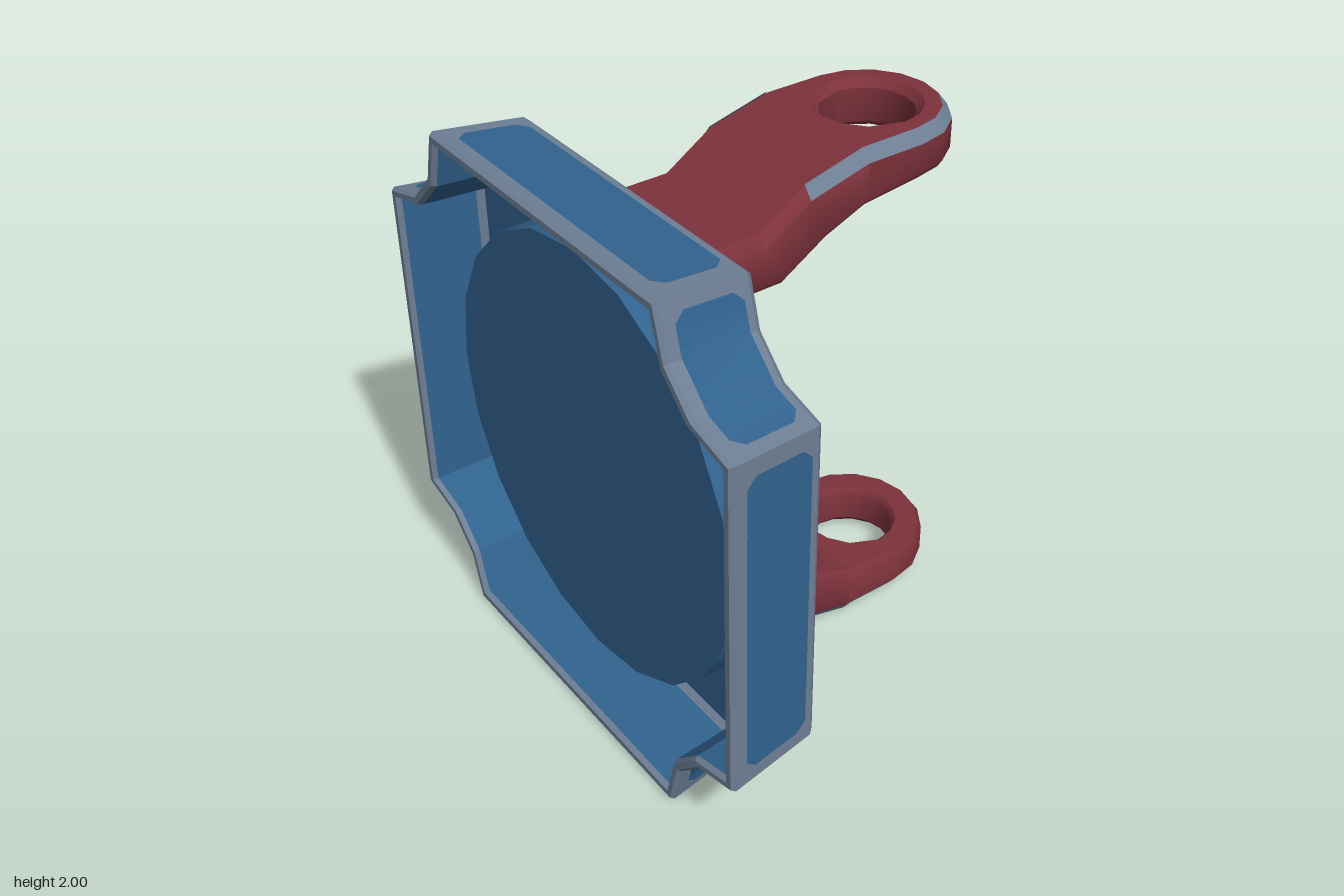
import * as THREE from 'three';
import { toCreasedNormals } from 'three/addons/utils/BufferGeometryUtils.js';

const mat = (name, color) => new THREE.MeshStandardMaterial({ name, color, side: THREE.DoubleSide });

// Skin a list of equal-length point rows with quads
function loft(rows, { closedRow = true, closedLoop = false, crease = 0.6 } = {}) {
  const n = rows[0].length, index = [];
  const rowEnd = closedLoop ? rows.length : rows.length - 1;
  for (let i = 0; i < rowEnd; i++) {
    const k = (i + 1) % rows.length;
    for (let j = 0; j < (closedRow ? n : n - 1); j++) {
      const m = (j + 1) % n;
      const a = i * n + j, b = i * n + m, c = k * n + m, d = k * n + j;
      index.push(a, b, c, a, c, d);
    }
  }
  const geo = new THREE.BufferGeometry();
  geo.setAttribute('position', new THREE.Float32BufferAttribute(rows.flat(2), 3));
  geo.setIndex(index);
  return toCreasedNormals(geo, crease);
}

// Square outline with stepped corners, counter-clockwise, centred on the origin
const outline = [];
for (let k = 0; k < 4; k++) {
  for (let [x, y] of [[1, 0.645], [0.82, 0.695], [0.695, 0.82], [0.645, 1]]) {
    for (let r = 0; r < k; r++) [x, y] = [-y, x];
    outline.push([x, y]);
  }
}
const traySection = (s, z) => outline.map(([x, y]) => [x * s, 1 + y * s, z]);
const sideScale = (z) => 0.965 + ((z - 0.46) / 0.325) * 0.035;

export function createModel() {
  const blue = mat('blue paint', 0x31638f);
  const grey = mat('worn edge', 0x6e7f95);
  const red = mat('red paint', 0x7d323b);
  const boltBlue = mat('bolt blue', 0x3055a0);

  const model = new THREE.Group();
  const add = (parent, name, geo, material) => {
    const mesh = new THREE.Mesh(geo, material);
    mesh.name = name;
    parent.add(mesh);
    return mesh;
  };

  // Tray: worn shell and rim, painted inner wall, floor and back
  const tray = new THREE.Group();
  tray.name = 'tray';
  model.add(tray);
  const sections = (list) => loft(list.map(([s, z]) => traySection(s, z)), { crease: 0.3 });
  add(tray, 'trayShell', sections([[0.948, 0.44], [0.965, 0.46], [1, 0.785], [0.99, 0.8], [0.968, 0.8], [0.96, 0.78]]), grey);
  add(tray, 'trayInnerWall', sections([[0.96, 0.78], [0.945, 0.5]]), blue);
  add(tray, 'trayFloorEdge', sections([[0.945, 0.5], [0.925, 0.475]]), grey);
  const cap = (s) => new THREE.ShapeGeometry(
    new THREE.Shape(outline.map(([x, y]) => new THREE.Vector2(x * s, y * s))));
  add(tray, 'trayFloor', cap(0.925), blue).position.set(0, 1, 0.475);
  const back = add(tray, 'trayBack', cap(0.948), blue);
  back.position.set(0, 1, 0.44);
  back.rotation.y = Math.PI;

  // Painted panels on the outside walls, with clipped corners
  const panelColumn = ([x, y], z0, z1) => [z1, z0].map((z) => {
    const s = sideScale(z) + 0.005;
    return [x * s, 1 + y * s, z];
  });
  const mix = (p, q, d) => {
    const t = d / Math.hypot(q[0] - p[0], q[1] - p[1]);
    return [p[0] + (q[0] - p[0]) * t, p[1] + (q[1] - p[1]) * t];
  };
  function panel(name, path, inset) {
    const last = path.length - 1, cut = 0.035;
    const column = (p, narrow) => panelColumn(p, narrow ? 0.525 : 0.488, narrow ? 0.705 : 0.742);
    const rows = [
      column(mix(path[0], path[1], inset), true),
      column(mix(path[0], path[1], inset + cut), false),
      ...path.slice(1, last).map((p) => column(p, false)),
      column(mix(path[last], path[last - 1], inset + cut), false),
      column(mix(path[last], path[last - 1], inset), true),
    ];
    add(tray, name, loft(rows, { closedRow: false }), blue);
  }
  for (let k = 0; k < 4; k++) {
    panel('cornerPanel', outline.slice(4 * k, 4 * k + 4), 0.05);
    panel('sidePanel', [outline[4 * k + 3], outline[(4 * k + 4) % 16]], 0.065);
  }

  // Raised disc inside the tray
  const disc = add(model, 'frontDisc', new THREE.CylinderGeometry(0.82, 0.82, 0.195, 20), blue);
  disc.rotation.x = Math.PI / 2;
  disc.position.set(0, 1, 0.57);

  // Round flange with a dished centre on the back
  const profile = [[0.805, -0.45], [0.805, -0.385], [0.78, -0.365], [0.54, -0.365], [0.47, -0.375],
    [0.41, -0.395], [0.36, -0.415], [0, -0.415]].map(([r, h]) => new THREE.Vector2(r, h));
  const flange = add(model, 'flange', toCreasedNormals(new THREE.LatheGeometry(profile, 20), 0.5), red);
  flange.rotation.x = -Math.PI / 2;
  flange.position.y = 1;

  // Six round bolt heads
  for (const side of [0, Math.PI]) {
    for (const turn of [-1, 0, 1]) {
      const a = side + turn * Math.PI / 4;
      add(model, 'bolt', new THREE.SphereGeometry(0.09, 10, 8), boltBlue)
        .position.set(0.61 * Math.cos(a), 1 + 0.61 * Math.sin(a), 0.37);
    }
  }

  // Bent arm with an eyelet; the second is the same arm turned over
  const w = 0.287, k = 0.88, eyeZ = -0.51, joinZ = -0.28, top = 1.985;
  const under = (z) => 1.81 - Math.max(0, z - eyeZ) * 0.11;

  const eyePath = [[0.1, joinZ], [w, joinZ], [w, eyeZ]];
  for (let i = 1; i < 8; i++) {
    const a = (i * Math.PI) / 8;
    eyePath.push([w * Math.cos(a), eyeZ - w * Math.sin(a)]);
  }
  eyePath.push([-w, eyeZ], [-w, joinZ], [-0.1, joinZ], [0, joinZ]);
  const outer = (s, y) => eyePath.map(([x, z]) =>
    [x * s, y(z), z < eyeZ ? eyeZ + (z - eyeZ) * s : z]);
  const hole = (r, y) => eyePath.map(([x, z]) => {
    const a = Math.atan2(z - eyeZ, x);
    const hz = eyeZ + r * Math.sin(a);
    return [r * Math.cos(a), y(hz), hz];
  });
  const sideLow = outer(1, (z) => under(z) + 0.025);
  const sideHigh = outer(1, () => top - 0.045);
  const topEdge = outer(k, () => top);
  const eyelet = loft([
    topEdge, hole(0.195, () => top), hole(0.168, () => top - 0.03),
    hole(0.168, (z) => under(z) + 0.02), hole(0.185, under),
    outer(0.94, under), sideLow, sideHigh,
  ], { crease: 0.7 });
  const eyeletEdge = loft([sideHigh, topEdge], { crease: 0.7 });

  // Stem stations, tip to root: underside z and y, upper z and y
  const stations = [[joinZ, 1.785, joinZ, top], [-0.12, 1.72, -0.04, 1.925],
    [0.06, 1.61, 0.14, 1.81], [0.45, 1.61, 0.45, 1.81]];
  const stem = loft(stations.map(([zb, yb, zt, yt]) => [
    [-w * 0.94, yb, zb], [w * 0.94, yb, zb], [w, yb + 0.025, zb], [w, yt - 0.045, zt],
    [w * k, yt, zt], [-w * k, yt, zt], [-w, yt - 0.045, zt], [-w, yb + 0.025, zb],
  ]), { crease: 0.7 });

  // Worn strip along the upper edge of the stem
  const stemEdge = (side) => loft(stations.slice(0, 2).map(([, , z, y]) => {
    const strip = [[side * (w + 0.003), y - 0.042, z], [side * (w * k + 0.003), y + 0.003, z]];
    return side > 0 ? strip : strip.reverse();
  }), { closedRow: false });

  for (const upper of [true, false]) {
    const arm = new THREE.Group();
    arm.name = upper ? 'upperArm' : 'lowerArm';
    add(arm, 'eyelet', eyelet, red);
    add(arm, 'eyeletWornEdge', eyeletEdge, grey);
    add(arm, 'stem', stem, red);
    for (const side of [1, -1]) add(arm, 'stemWornEdge', stemEdge(side), grey);
    if (!upper) {
      arm.rotation.z = Math.PI;
      arm.position.y = 2;
    }
    model.add(arm);
  }
  return model;
}
